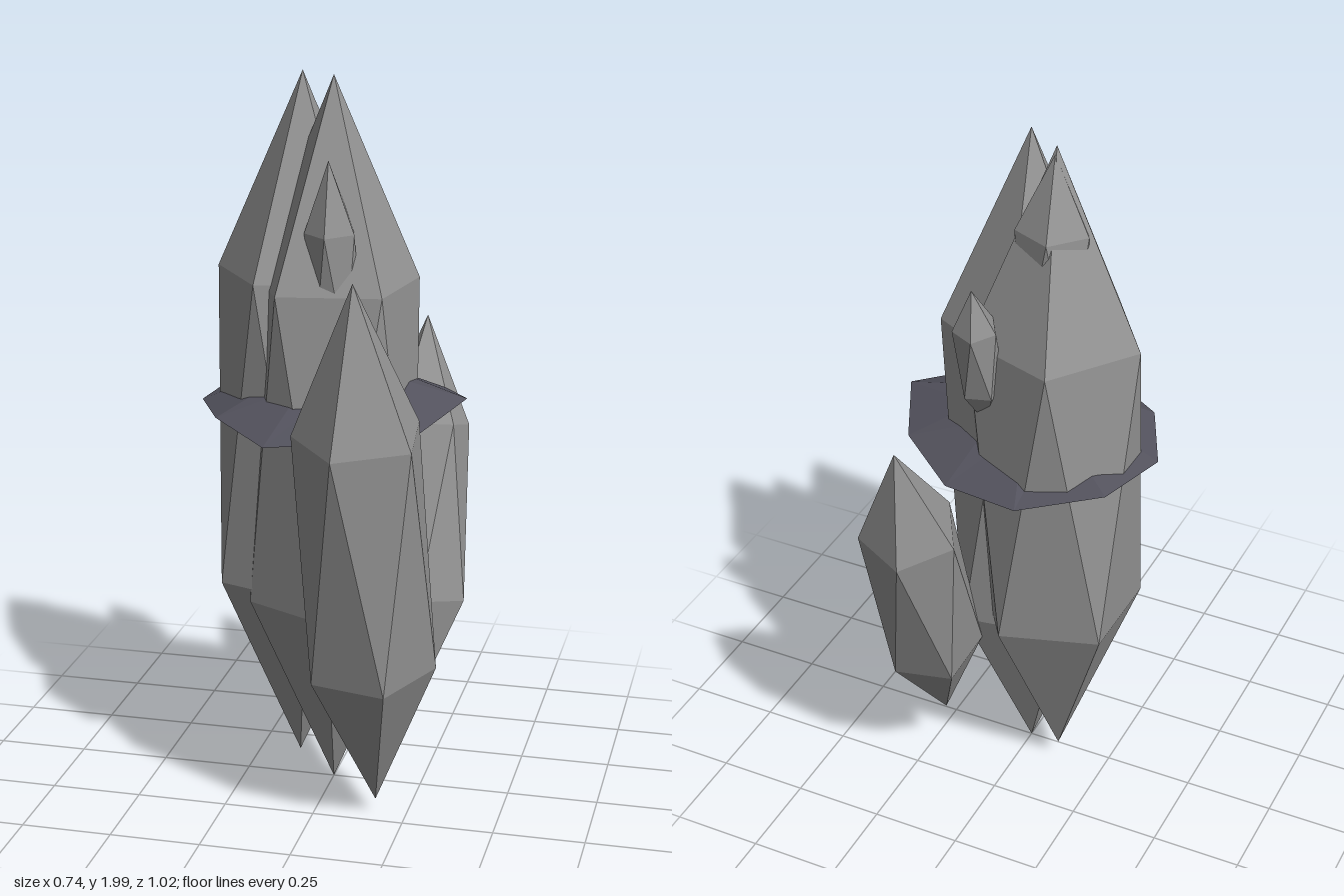
import * as THREE from 'three';

// Flat-shaded geometry from a list of triangle corner points
function flatGeometry(points) {
  const geo = new THREE.BufferGeometry().setFromPoints(points);
  geo.computeVertexNormals();
  return geo;
}

// Stretched icosahedron between two tips; angle (degrees, x towards z) turns its rings
function crystalGeometry(top, bottom, radius, angle) {
  const T = new THREE.Vector3(...top), B = new THREE.Vector3(...bottom);
  const centre = T.clone().add(B).multiplyScalar(0.5);
  const half = T.clone().sub(centre);
  const turn = new THREE.Quaternion().setFromUnitVectors(
    new THREE.Vector3(0, 1, 0), half.clone().normalize());
  const ring = (level, offset) => Array.from({ length: 5 }, (_, i) => {
    const a = THREE.MathUtils.degToRad(angle + offset + i * 72);
    return new THREE.Vector3(Math.cos(a) * radius, 0, Math.sin(a) * radius)
      .applyQuaternion(turn).add(centre).addScaledVector(half, level);
  });
  const u = ring(0.447, 0), l = ring(-0.447, 36);
  const pts = [];
  for (let i = 0; i < 5; i++) {
    const j = (i + 1) % 5;
    pts.push(T, u[j], u[i], u[i], u[j], l[i], l[i], u[j], l[j], B, l[i], l[j]);
  }
  return flatGeometry(pts);
}

// Uneven ten-sided collar with a sharp rim; each rim entry is [radius, height]
function collarGeometry(rim) {
  const n = rim.length;
  const at = (i, r, y) => {
    const a = (i / n) * Math.PI * 2;
    return new THREE.Vector3(Math.cos(a) * r, y, Math.sin(a) * r);
  };
  const pts = [];
  const quad = (a, b, c, d) => pts.push(a, b, c, a, c, d);
  for (let i = 0; i < n; i++) {
    const j = (i + 1) % n;
    const r0 = at(i, ...rim[i]), r1 = at(j, ...rim[j]);
    quad(at(i, 0.15, 1.2), at(j, 0.15, 1.2), r1, r0);
    quad(r0, r1, at(j, 0.15, 1.07), at(i, 0.15, 1.07));
  }
  return flatGeometry(pts);
}

export function createModel() {
  const model = new THREE.Group();
  model.name = 'crystalCluster';

  const stone = new THREE.MeshStandardMaterial({ color: 0x959595 });
  stone.name = 'grey stone';
  const dark = new THREE.MeshStandardMaterial({ color: 0x53525d });
  dark.name = 'dark slate';

  const add = (name, geometry, material) => {
    const mesh = new THREE.Mesh(geometry, material);
    mesh.name = name;
    model.add(mesh);
  };

  // Crystals: name, top tip, bottom tip, ring radius, ring angle
  const crystals = [
    ['mainCrystal', [0, 2, 0], [0, 0.01, 0], 0.237, -27],
    ['twinCrystal', [-0.1, 2, -0.065], [-0.11, 0.06, -0.05], 0.235, 181],
    ['frontCrystal', [0.14, 1.54, 0.388], [0.165, 0.05, 0.2], 0.178, 30],
    ['backCrystal', [0.165, 1.255, -0.467], [0.195, 0.175, -0.165], 0.138, 42],
    ['frontShard', [0.02, 1.8, 0.145], [0.035, 1.12, 0.09], 0.071, 20],
    ['backShard', [0.04, 1.66, -0.265], [0.045, 1.22, -0.185], 0.06, 40],
    ['topShard', [-0.1, 1.98, -0.075], [-0.095, 1.24, -0.075], 0.1, 185],
  ];
  for (const [name, top, bottom, radius, angle] of crystals)
    add(name, crystalGeometry(top, bottom, radius, angle), stone);

  // Dark collar around the main crystals
  add('collar', collarGeometry([
    [0.365, 1.15], [0.335, 1.1], [0.34, 1.1], [0.355, 1.08], [0.34, 1.11],
    [0.37, 1.1], [0.395, 1.12], [0.355, 1.08], [0.33, 1.08], [0.335, 1.12],
  ]), dark);

  return model;
}
